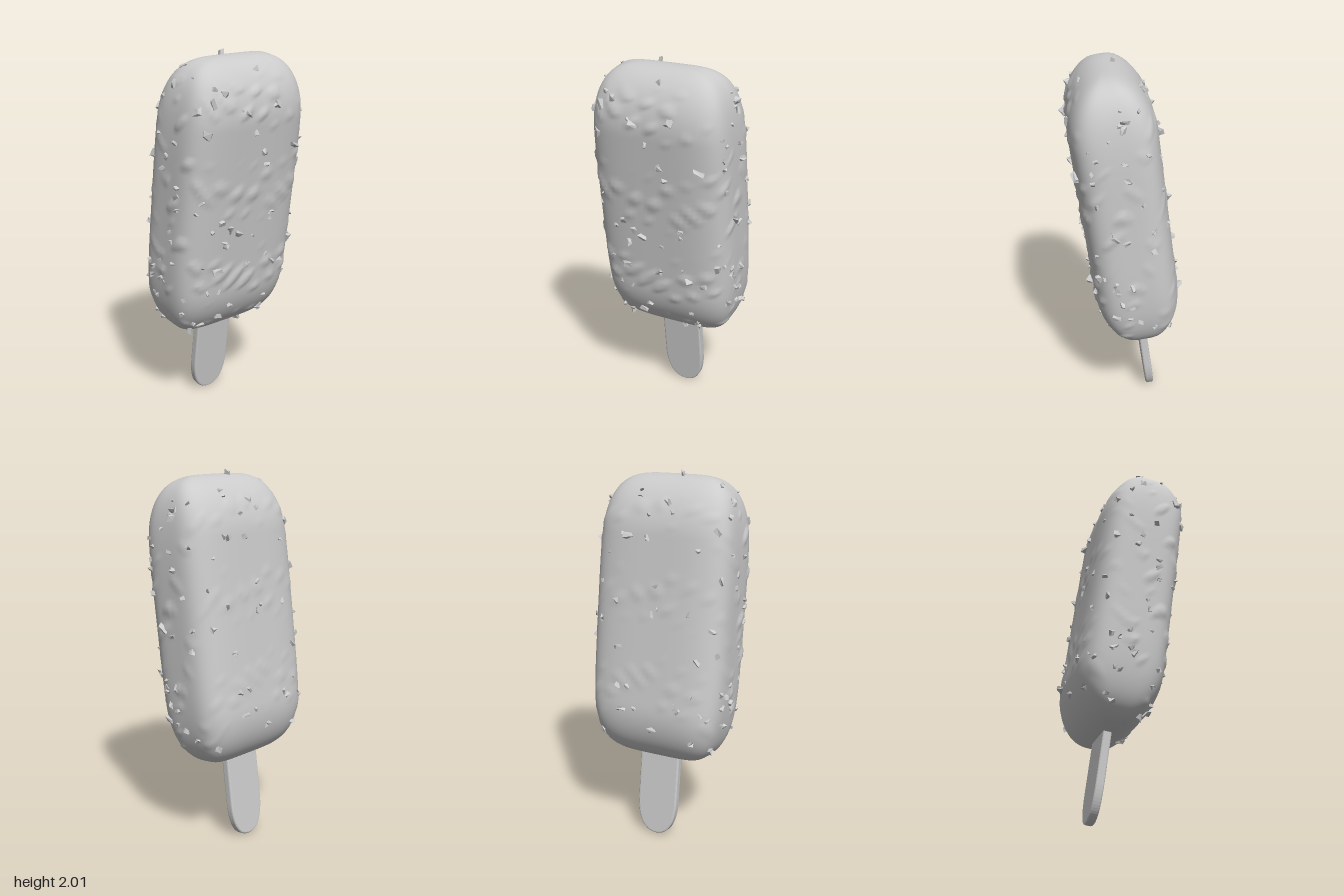
import * as THREE from 'three';
import { mergeGeometries } from 'three/addons/utils/BufferGeometryUtils.js';

const A = 0.388, B = 0.228, H = 0.77; // half width, half depth, half height of the coated bar
const TILT = 0.133, YAW = -0.05, CENTRE = 1.22;

let seed = 7;
function rand() {
  seed = (seed * 1664525 + 1013904223) % 4294967296;
  return seed / 4294967296;
}

// Soft lumps under the coating: sparse rounded patches
function lump(x, y, z) {
  const w = Math.sin(x * 31 + 2.1 * Math.sin(y * 9)) * Math.sin(y * 37 + 2.3 * Math.sin(x * 11 + z * 17))
    + 0.5 * Math.sin(z * 29 + y * 13);
  return 0.009 * THREE.MathUtils.smoothstep(w, 0.5, 1.2);
}

// Half-size factors of the rounded bar at height y
const widthAt = (y) => Math.pow(Math.max(0, 1 - Math.pow(Math.abs(y) / H, 4.5)), 1 / 4.5);
function depthAt(y) {
  const t = Math.min(1, Math.max(0, Math.abs(y) - 0.45) / (H - 0.45));
  return Math.sqrt(1 - t * t);
}

// Point of the bar's surface at height y and angle a around it
function surface(y, a) {
  const c = Math.cos(a), s = Math.sin(a);
  const r = Math.pow(c ** 4 + s ** 4, -0.25);
  const x = A * widthAt(y) * r * c, z = B * depthAt(y) * r * s;
  const fade = THREE.MathUtils.smoothstep(H - Math.abs(y), 0.03, 0.15);
  const d = lump(x, y, z) * fade * (s > 0 ? 1 : 0.5 - 0.5 * s * s + 0.5 * Math.abs(s) ** 3);
  return new THREE.Vector3(x + d * c, y, z + d * s);
}

// Closed skin of rings with one point at each end
function barGeometry(rings = 120, sides = 112) {
  const pos = [0, -H, 0], index = [];
  for (let i = 1; i < rings; i++) {
    const y = H * Math.sin((i / rings - 0.5) * Math.PI);
    for (let j = 0; j < sides; j++) pos.push(...surface(y, (j / sides) * Math.PI * 2).toArray());
  }
  pos.push(0, H, 0);
  const last = pos.length / 3 - 1;
  for (let j = 0; j < sides; j++) {
    const k = (j + 1) % sides;
    index.push(0, 1 + j, 1 + k);
    for (let i = 0; i < rings - 2; i++) {
      const p = 1 + i * sides, q = p + sides;
      index.push(p + j, q + j, p + k, p + k, q + j, q + k);
    }
    const top = 1 + (rings - 2) * sides;
    index.push(top + j, last, top + k);
  }
  const g = new THREE.BufferGeometry();
  g.setAttribute('position', new THREE.Float32BufferAttribute(pos, 3));
  g.setIndex(index);
  g.computeVertexNormals();
  return g;
}

// One irregular nut chip: a small box with its eight corners pushed about
function chip(p, size) {
  const g = new THREE.BoxGeometry(1, 1, 1);
  const push = Array.from({ length: 8 }, () => [rand(), rand(), rand()].map((v) => (v - 0.5) * 0.55));
  const v = g.attributes.position;
  for (let i = 0; i < v.count; i++) {
    const o = push[(v.getX(i) > 0 ? 1 : 0) + (v.getY(i) > 0 ? 2 : 0) + (v.getZ(i) > 0 ? 4 : 0)];
    v.setXYZ(i, v.getX(i) + o[0], v.getY(i) + o[1], v.getZ(i) + o[2]);
  }
  g.scale(size * (0.7 + 0.5 * rand()), size * (0.9 + 0.7 * rand()), size * (0.5 + 0.4 * rand()));
  g.rotateX(rand() * 6.28).rotateY(rand() * 6.28).rotateZ(rand() * 6.28);
  g.translate(p.x, p.y, p.z);
  g.computeVertexNormals();
  return g;
}

function chipsGeometry() {
  const chips = [];
  // Larger chips on the front face, as x and y
  const front = [[-0.31, 1.66], [-0.28, 1.81], [0.05, 1.53], [-0.08, 1.1], [-0.13, 1.13], [-0.16, 1.05],
    [-0.19, 0.9], [-0.13, 0.6], [0.27, 1.53], [0.12, 1.77], [0.26, 0.85], [0.19, 0.55], [-0.23, 0.55]];
  for (const [x, h] of front) {
    const y = (h - CENTRE) / Math.cos(TILT);
    const q = Math.max(-0.99, Math.min(0.99, x / (A * widthAt(y))));
    chips.push(chip(surface(y, Math.atan2(Math.pow(1 - q ** 4, 0.25), q)), 0.032));
  }
  // Smaller chips all round
  for (let i = 0; i < 125; i++) {
    const y = H * (-0.96 + 1.955 * rand());
    chips.push(chip(surface(y, rand() * Math.PI * 2), 0.015 + 0.016 * rand()));
  }
  return mergeGeometries(chips);
}

// Flat stick with a rounded tip and softened edges
function stickGeometry() {
  const w = 0.108, tip = -1.222, start = -1.03, top = -0.55;
  const s = new THREE.Shape();
  s.moveTo(-w, top);
  s.lineTo(-w, start);
  s.bezierCurveTo(-w, tip + 0.06, -0.065, tip, 0, tip);
  s.bezierCurveTo(0.065, tip, w, tip + 0.06, w, start);
  s.lineTo(w, top);
  s.closePath();
  const g = new THREE.ExtrudeGeometry(s, {
    depth: 0.026, bevelEnabled: true, bevelThickness: 0.01, bevelSize: 0.01, bevelSegments: 3, curveSegments: 16,
  });
  return g.translate(0.002, 0, -0.013);
}

export function createModel() {
  const model = new THREE.Group();
  model.name = 'iceCreamBar';
  const leaning = new THREE.Group();
  leaning.name = 'leaningBar';
  leaning.rotation.set(TILT, YAW, 0, 'YXZ');
  leaning.position.y = CENTRE;
  model.add(leaning);

  const smooth = new THREE.MeshStandardMaterial({ color: 0xcccccc });
  const faceted = new THREE.MeshStandardMaterial({ color: 0xcccccc, flatShading: true });
  const add = (name, geometry, material) => {
    const mesh = new THREE.Mesh(geometry, material);
    mesh.name = name;
    leaning.add(mesh);
  };
  add('chocolateCoating', barGeometry(), smooth);
  add('nutChips', chipsGeometry(), faceted);
  add('stick', stickGeometry(), smooth);
  return model;
}
